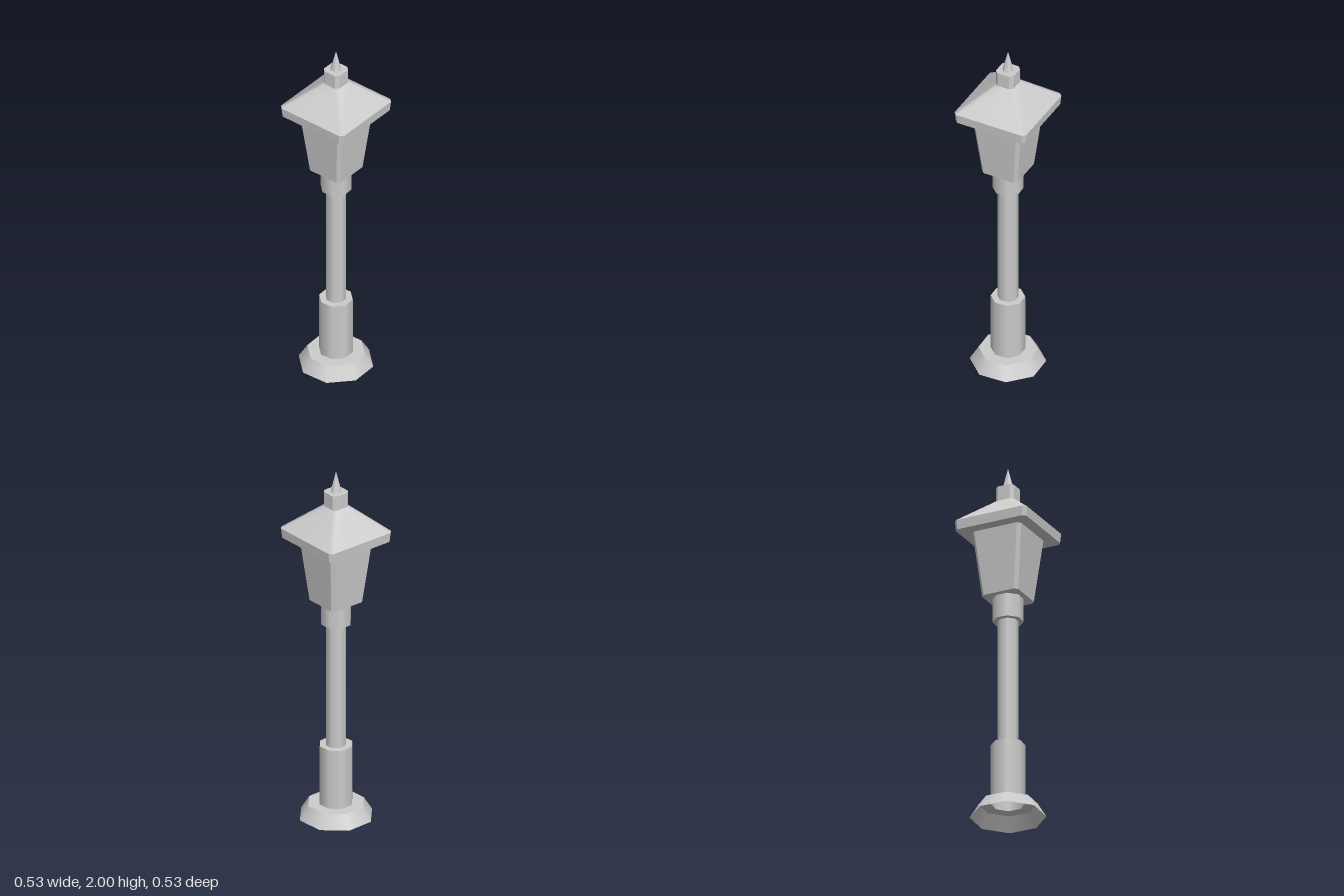
import * as THREE from 'three';

const SIDES = 8;
const CHAMFER = 0.018;

const smoothMat = new THREE.MeshStandardMaterial({ color: 0xcccccc, side: THREE.DoubleSide });
const flatMat = new THREE.MeshStandardMaterial({ color: 0xcccccc, side: THREE.DoubleSide, flatShading: true });

function add(parent, name, geometry, material) {
  const mesh = new THREE.Mesh(geometry, material);
  mesh.name = name;
  parent.add(mesh);
  return mesh;
}

// Eight-sided round section between two heights
function round(parent, name, rBottom, rTop, y0, y1, open = false, material = smoothMat) {
  const geometry = new THREE.CylinderGeometry(rTop, rBottom, y1 - y0, SIDES, 1, open);
  geometry.translate(0, (y0 + y1) / 2, 0);
  return add(parent, name, geometry, material);
}

// Flat ring or disc facing up
function ring(parent, name, inner, outer, y) {
  const geometry = new THREE.RingGeometry(inner, outer, SIDES);
  geometry.rotateX(-Math.PI / 2).translate(0, y, 0);
  return add(parent, name, geometry, smoothMat);
}

// Square section with cut corners between two heights; a = half width
function squareSection(parent, name, a0, y0, a1, y1, { bottom = false, top = false, material = flatMat } = {}) {
  const positions = [];
  const index = [];
  for (const [a, y] of [[a0, y0], [a1, y1]]) {
    const b = a - CHAMFER;
    for (const [x, z] of [[a, -b], [a, b], [b, a], [-b, a], [-a, b], [-a, -b], [-b, -a], [b, -a]]) {
      positions.push(x, y, z);
    }
  }
  for (let i = 0; i < 8; i++) {
    const j = (i + 1) % 8;
    index.push(i, i + 8, j, j, i + 8, j + 8);
    if (bottom && i > 0 && i < 7) index.push(0, i, i + 1);
    if (top && i > 0 && i < 7) index.push(8, i + 9, i + 8);
  }
  const geometry = new THREE.BufferGeometry();
  geometry.setAttribute('position', new THREE.Float32BufferAttribute(positions, 3));
  geometry.setIndex(index);
  geometry.computeVertexNormals();
  return add(parent, name, geometry, material);
}

export function createModel() {
  const model = new THREE.Group();
  model.name = 'streetLamp';

  // Post: hollow flared foot, sleeve, pole and collar
  const post = new THREE.Group();
  post.name = 'post';
  model.add(post);
  round(post, 'foot', 0.2, 0.154, 0, 0.075, true);
  ring(post, 'footTop', 0.09, 0.154, 0.075);
  round(post, 'sleeve', 0.09, 0.09, 0.075, 0.413, true);
  ring(post, 'sleeveTop', 0.055, 0.09, 0.413);
  round(post, 'pole', 0.055, 0.055, 0.413, 1.12, true);
  round(post, 'collar', 0.082, 0.082, 1.12, 1.25);

  // Lantern head, turned on the post
  const head = new THREE.Group();
  head.name = 'lanternHead';
  head.rotation.y = THREE.MathUtils.degToRad(20);
  model.add(head);
  squareSection(head, 'lantern', 0.106, 1.25, 0.143, 1.607, { bottom: true });
  squareSection(head, 'eave', 0.207, 1.607, 0.2115, 1.66, { bottom: true });
  squareSection(head, 'roof', 0.2115, 1.66, 0.0525, 1.802, { material: smoothMat });
  squareSection(head, 'cap', 0.0525, 1.802, 0.0525, 1.883, { top: true });

  // Pointed finial
  round(model, 'finial', 0.03, 0, 1.883, 2, false, flatMat);

  return model;
}
